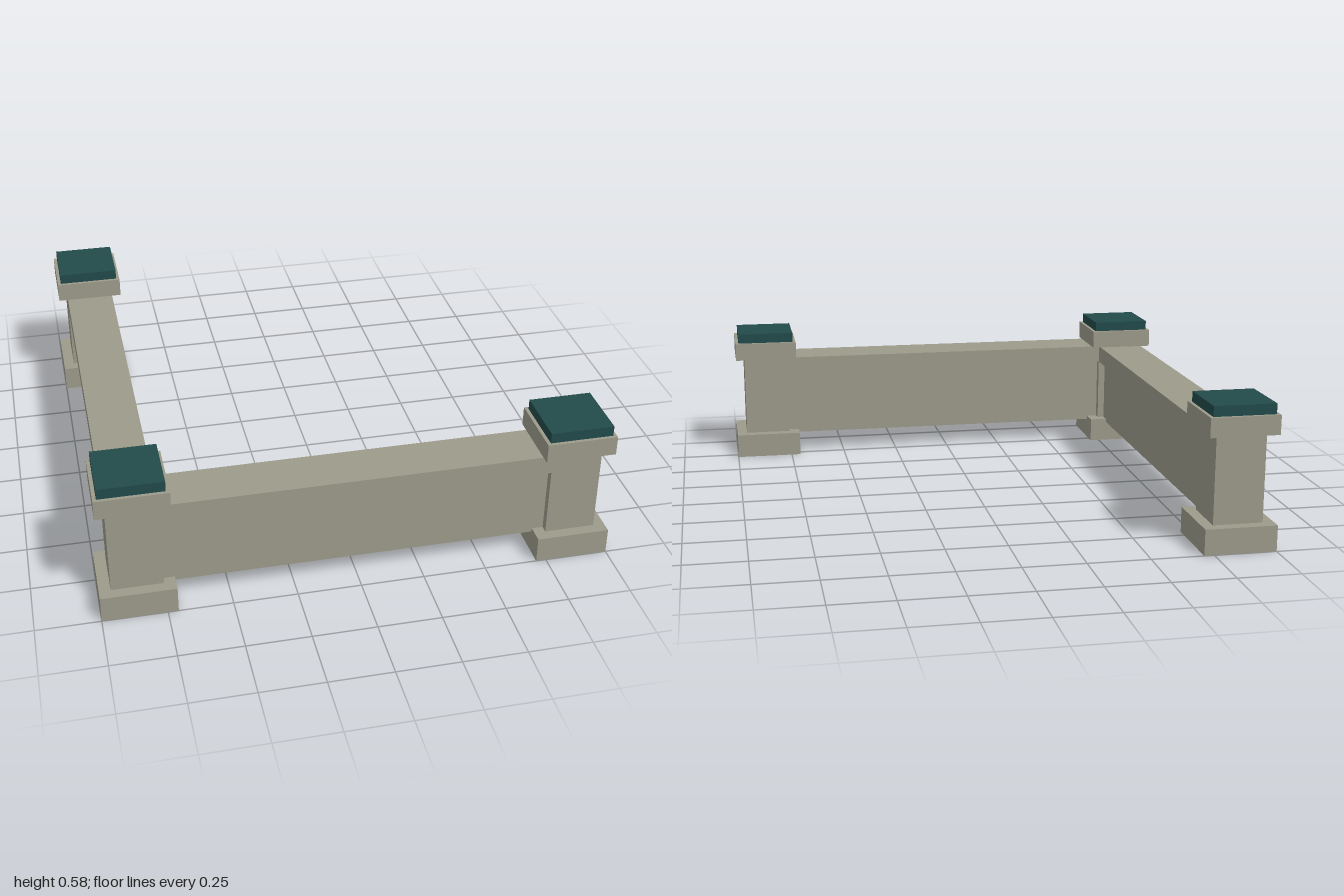
import * as THREE from 'three';

export function createModel() {
  const stone = new THREE.MeshStandardMaterial({ color: 0x9c9a8a });
  stone.name = 'stone';
  const teal = new THREE.MeshStandardMaterial({ color: 0x224a4a });
  teal.name = 'teal';
  const bronze = new THREE.MeshStandardMaterial({ color: 0x6a4c22 });
  bronze.name = 'bronze';

  const model = new THREE.Group();
  model.name = 'cornerWall';

  // Box standing between two heights
  const block = (parent, name, w, d, y0, y1, material) => {
    const mesh = new THREE.Mesh(new THREE.BoxGeometry(w, y1 - y0, d), material);
    mesh.position.y = (y0 + y1) / 2;
    mesh.name = name;
    parent.add(mesh);
    return mesh;
  };

  // Square posts: plinth, shaft, cap and teal top
  const P = 0.855;
  const post = (name, x, z) => {
    const g = new THREE.Group();
    g.name = name;
    g.position.set(x, 0, z);
    block(g, 'plinth', 0.29, 0.29, 0, 0.105, stone);
    block(g, 'shaft', 0.2, 0.2, 0.105, 0.462, stone);
    block(g, 'cap', 0.278, 0.278, 0.462, 0.54, stone);
    block(g, 'capTop', 0.25, 0.25, 0.54, 0.582, teal);
    model.add(g);
  };
  post('cornerPost', -P, P);
  post('leftPost', P, P);
  post('backPost', -P, -P);

  // Walls: recessed panel under a rail flush with the posts
  const wall = (name) => {
    const g = new THREE.Group();
    g.name = name;
    block(g, 'panel', 1.515, 0.14, 0.09, 0.384, stone);
    block(g, 'rail', 1.51, 0.2, 0.384, 0.46, stone);
    model.add(g);
    return g;
  };
  wall('frontWall').position.z = P;
  const side = wall('sideWall');
  side.position.x = -P;
  side.rotation.y = -Math.PI / 2; // local +z faces outward (-x)

  // Scroll ornament: flat ribbon curling inward
  const outer = [], inner = [];
  for (let i = 0; i <= 32; i++) {
    const t = i / 32;
    const a = 0.6 + t * 7.2;
    const r = t < 0.7 ? 0.06 : 0.06 - (t - 0.7) * 0.13;
    const h = 0.011 * (1 - 0.3 * t);
    const at = (q) => new THREE.Vector2(Math.cos(a) * q, Math.sin(a) * q * 1.1);
    outer.push(at(r + h));
    inner.unshift(at(r - h));
  }
  const scrollGeometry = new THREE.ExtrudeGeometry(
    new THREE.Shape([...outer, ...inner]), { depth: 0.009, bevelEnabled: false });
  for (const u of [-0.42, 0, 0.42]) {
    const scroll = new THREE.Mesh(scrollGeometry, bronze);
    scroll.name = 'scrollOrnament';
    scroll.position.set(u, 0.25, 0.07);
    side.add(scroll);
  }
  return model;
}
